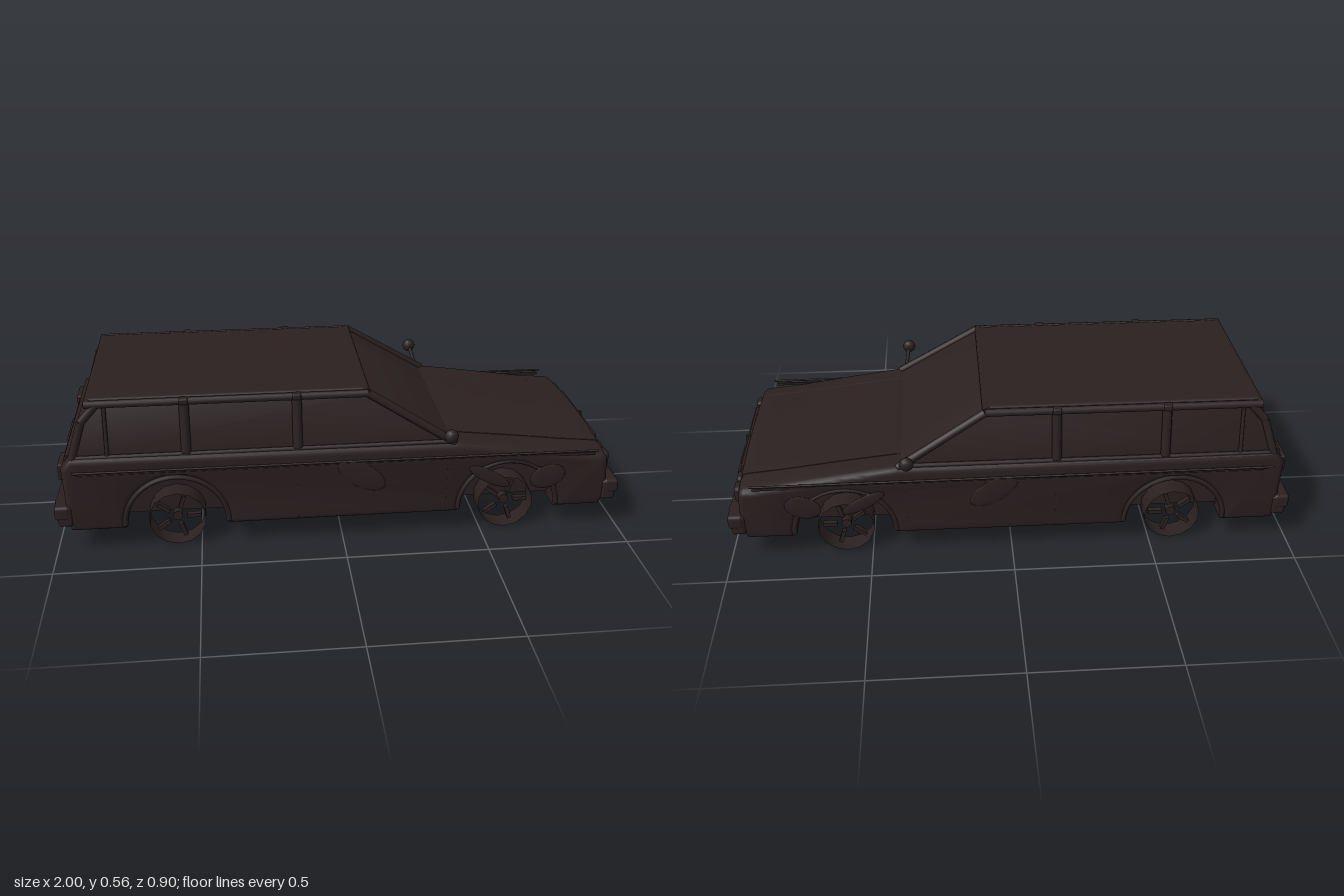
import * as THREE from 'three';
import { toCreasedNormals } from 'three/addons/utils/BufferGeometryUtils.js';
import { RoundedBoxGeometry } from 'three/addons/geometries/RoundedBoxGeometry.js';

export function createModel() {
  const car = new THREE.Group();
  car.name = 'estateCar';
  const paint = new THREE.MeshStandardMaterial({ color: 0x2b2020, side: THREE.DoubleSide });
  paint.name = 'dark brown';
  const V = (x, y, z) => new THREE.Vector3(x, y, z);
  const AXLES = [-0.58, 0.59];

  function add(name, geometry, x = 0, y = 0, z = 0) {
    const m = new THREE.Mesh(geometry, paint);
    m.name = name;
    m.position.set(x, y, z);
    car.add(m);
    return m;
  }
  const box = (name, w, h, d, x, y, z, r = 0) =>
    add(name, r ? new RoundedBoxGeometry(w, h, d, 2, r) : new THREE.BoxGeometry(w, h, d), x, y, z);

  // Round bar between two points
  function bar(name, a, b, r) {
    const m = add(name, new THREE.CylinderGeometry(r, r, a.distanceTo(b), 8));
    m.position.copy(a).lerp(b, 0.5);
    m.quaternion.setFromUnitVectors(V(0, 1, 0), b.clone().sub(a).normalize());
  }

  // Side profile extruded across the car from z0 to z1, then reshaped by a rule
  function slab(name, shape, z0, z1, bevel, rule) {
    const g = new THREE.ExtrudeGeometry(shape, {
      depth: z1 - z0 - 2 * bevel, bevelEnabled: bevel > 0, bevelThickness: bevel,
      bevelSize: bevel, bevelOffset: -bevel, bevelSegments: 4, curveSegments: 20, steps: 4,
    });
    g.translate(0, 0, z0 + bevel);
    const p = g.attributes.position, v = V(0, 0, 0);
    for (let i = 0; i < p.count; i++) {
      rule(v.fromBufferAttribute(p, i));
      p.setXYZ(i, v.x, v.y, v.z);
    }
    add(name, toCreasedNormals(g, 0.6));
  }

  function lowerProfile(bottom, arches) {
    const s = new THREE.Shape();
    s.moveTo(-0.945, bottom);
    if (arches) for (const x of AXLES) {
      s.lineTo(x - 0.175, bottom);
      s.absarc(x, 0.1, 0.176, Math.PI, 0, true);
      s.lineTo(x + 0.175, bottom);
    }
    s.lineTo(0.935, bottom);
    s.lineTo(0.955, 0.13);
    s.lineTo(0.95, 0.28);
    s.quadraticCurveTo(0.945, 0.308, 0.92, 0.31);
    s.quadraticCurveTo(0.65, 0.338, 0.4, 0.355);
    s.lineTo(-0.93, 0.36);
    s.lineTo(-0.96, 0.32);
    s.lineTo(-0.955, 0.13);
    return s;
  }

  // Lower body: full-length core, plus flanks with open wheel arches; the bonnet falls off to the sides
  const crown = (v) => {
    if (v.x > 0.39 && v.y > 0.27) v.y -= 0.2 * v.z * v.z * Math.min(1, (v.x - 0.39) / 0.4);
  };
  slab('bodyCore', lowerProfile(0.093, false), -0.27, 0.27, 0, crown);
  slab('leftFlank', lowerProfile(0.08, true), 0.255, 0.371, 0.024, crown);
  slab('rightFlank', lowerProfile(0.08, true), -0.371, -0.255, 0.024, crown);
  for (const [x0, x1] of [[-0.945, -0.755], [-0.405, 0.415], [0.765, 0.938]])
    box('floorPan', x1 - x0, 0.025, 0.56, (x0 + x1) / 2, 0.09, 0);

  // Cabin with glass sides leaning in towards the roof
  const cabin = new THREE.Shape();
  [[-0.935, 0.345], [0.4, 0.345], [0.085, 0.545], [-0.83, 0.545], [-0.845, 0.518], [-0.89, 0.48]]
    .forEach(([x, y], i) => (i ? cabin.lineTo(x, y) : cabin.moveTo(x, y)));
  slab('cabin', cabin, -0.348, 0.348, 0.012, (v) => { v.z *= 1 - 0.6 * (v.y - 0.345); });
  box('roof', 0.95, 0.022, 0.62, -0.385, 0.543, 0, 0.01);

  // Window frames, pillars and gutters on both sides
  for (const s of [1, -1]) {
    const low = (x, y = 0.36) => V(x, y, s * 0.35), top = (x, y = 0.538) => V(x, y, s * 0.32);
    const bend = V(-0.88, 0.478, s * 0.328);
    bar('windscreenPillar', low(0.395, 0.35), top(0.09), 0.015);
    bar('tailPillar', low(-0.92, 0.35), bend, 0.014);
    bar('tailPillar', bend, top(-0.825), 0.014);
    bar('quarterFrame', low(-0.8), top(-0.8), 0.007);
    for (const x of [-0.535, -0.155]) {
      bar('doorPillar', low(x), top(x), 0.017);
      box('pillarCap', 0.03, 0.022, 0.03, x, 0.541, s * 0.325, 0.006);
    }
    bar('roofGutter', top(-0.865), top(0.09), 0.014);
    bar('windowSill', low(-0.92, 0.355), low(0.38, 0.355), 0.009);
  }
  bar('windscreenHeader', V(0.085, 0.541, -0.32), V(0.085, 0.541, 0.32), 0.014);
  bar('tailgateHeader', V(-0.855, 0.539, -0.32), V(-0.855, 0.539, 0.32), 0.014);
  bar('windscreenBase', V(0.395, 0.346, -0.34), V(0.395, 0.346, 0.34), 0.009);
  bar('tailgateSill', V(-0.935, 0.352, -0.34), V(-0.935, 0.352, 0.34), 0.012);

  // Side trim, door gaps, arch flares and thin ornaments
  for (const s of [1, -1]) {
    box('sideCrease', 1.8, 0.01, 0.006, -0.005, 0.293, s * 0.37);
    bar('trimStrip', V(-0.92, 0.31, s * 0.375), V(0.905, 0.305, s * 0.375), 0.004);
    for (const x of [-0.155, 0.37]) box('doorEdge', 0.005, 0.2, 0.004, x, 0.19, s * 0.37);
    for (const x of AXLES)
      add('archFlare', new THREE.TorusGeometry(0.18, 0.01, 6, 24, Math.PI), x, 0.095, s * 0.364);
    for (const [x, y, w, h, turn] of [
      [0.065, 0.25, 0.095, 0.045, -0.55], [0.52, 0.22, 0.085, 0.025, -0.5], [0.73, 0.21, 0.065, 0.045, 0.3],
    ]) {
      const leaf = add('doorOrnament', new THREE.SphereGeometry(1, 16, 8), x, y, s * 0.372);
      leaf.scale.set(w, h, 0.005);
      leaf.rotation.z = turn;
    }
    // Wing mirror on its stalk
    bar('mirrorStalk', V(0.375, 0.355, s * 0.335), V(0.363, 0.41, s * 0.425), 0.007);
    add('mirror', new THREE.SphereGeometry(1, 12, 8), 0.361, 0.415, s * 0.432).scale.set(0.025, 0.025, 0.02);
  }

  // Bumpers with wrapped ends and overriders
  for (const e of [1, -1]) {
    box('bumper', 0.055, 0.052, 0.755, e * 0.968, 0.157, 0, 0.012);
    for (const s of [1, -1]) {
      box('bumperEnd', 0.05, 0.075, 0.03, e * 0.96, 0.142, s * 0.36, 0.01);
      box('overrider', 0.03, 0.055, 0.034, e * 0.985, 0.152, s * 0.3, 0.012);
    }
    box('numberPlate', 0.008, 0.065, 0.175, e * 0.995, 0.15, 0);
    const valance = add('valance', new THREE.CylinderGeometry(0.042, 0.042, 0.62, 16), e * 0.91, 0.12, 0);
    valance.rotation.x = Math.PI / 2;
  }

  // Grille, headlights and tail lights
  box('grillePanel', 0.01, 0.095, 0.41, 0.952, 0.235, 0);
  for (let i = 0; i < 8; i++) box('grilleSlat', 0.012, 0.004, 0.34, 0.958, 0.2 + i * 0.01, 0);
  box('grilleBar', 0.016, 0.1, 0.01, 0.96, 0.235, 0);
  for (const s of [1, -1]) {
    for (const z of [0.23, 0.296]) box('headlight', 0.03, 0.06, 0.056, 0.955, 0.237, s * z, 0.014);
    box('tailLight', 0.02, 0.06, 0.1, -0.962, 0.3, s * 0.29, 0.006);
  }
  box('tailgateHandle', 0.016, 0.016, 0.18, -0.963, 0.3, 0, 0.005);

  // Wheels: open bands with a small hub and five spokes
  for (const x of AXLES) for (const s of [1, -1]) {
    const wheel = new THREE.Group();
    wheel.name = 'wheel';
    wheel.position.set(x, 0.1, s * 0.31);
    const part = (name, g) => {
      const m = new THREE.Mesh(g, paint);
      m.name = name;
      wheel.add(m);
      return m;
    };
    part('tyre', new THREE.CylinderGeometry(0.1, 0.1, 0.076, 14, 1, true)).rotation.x = Math.PI / 2;
    part('hub', new THREE.CylinderGeometry(0.018, 0.018, 0.03, 10)).rotation.x = Math.PI / 2;
    for (let i = 0; i < 5; i++) {
      const a = (i * Math.PI * 2) / 5;
      const spoke = part('spoke', new THREE.BoxGeometry(0.05, 0.014, 0.02));
      spoke.position.set(Math.cos(a) * 0.058, Math.sin(a) * 0.058, s * 0.01);
      spoke.rotation.z = a;
    }
    car.add(wheel);
  }
  return car;
}
